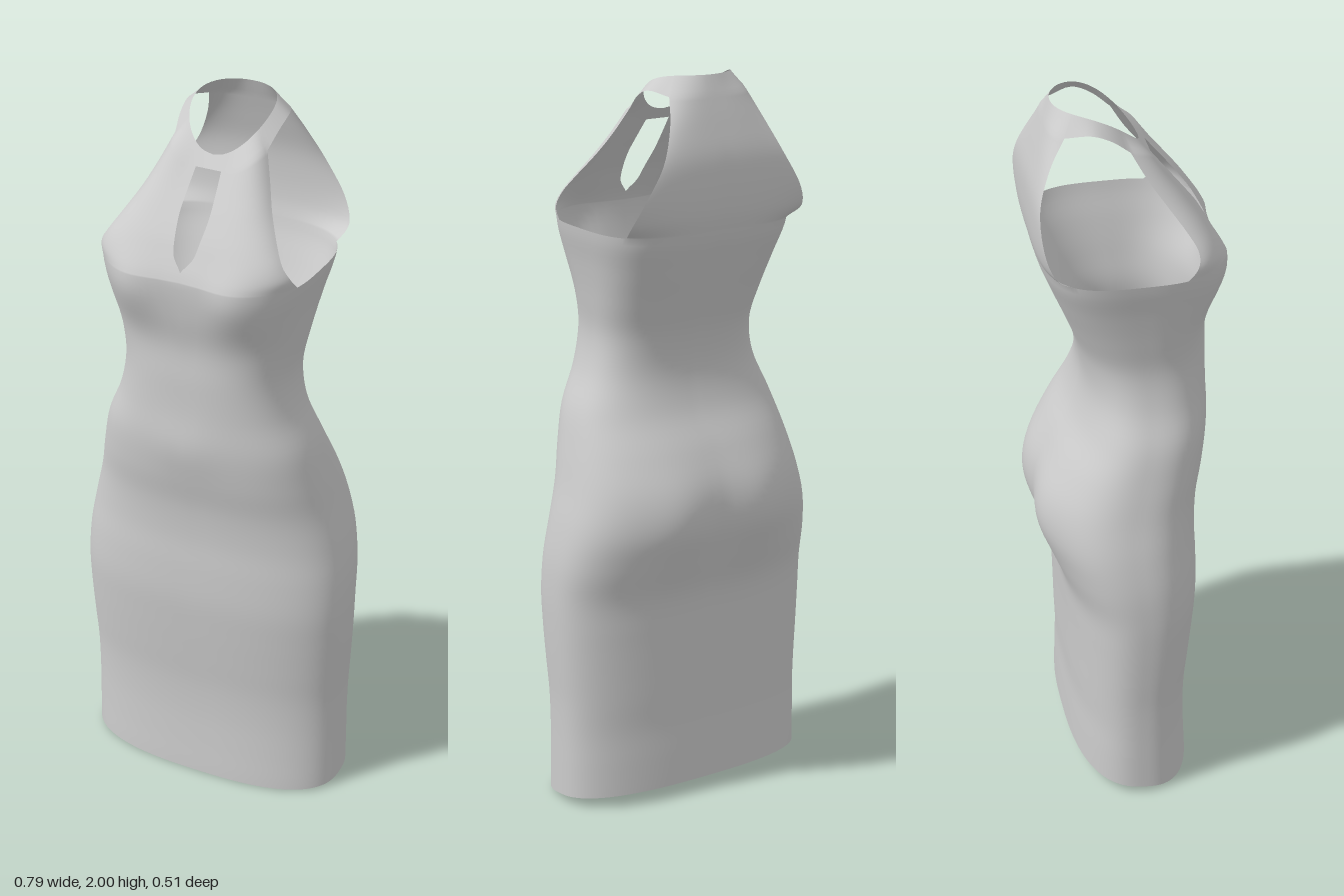
import * as THREE from 'three';
import { mergeGeometries, mergeVertices } from 'three/addons/utils/BufferGeometryUtils.js';

// Body sections every 0.1 in height: half width, front depth, back depth
const BODY = [
  [0.38, 0.16, 0.175], [0.38, 0.155, 0.173], [0.38, 0.152, 0.17], [0.382, 0.155, 0.173],
  [0.388, 0.165, 0.175], [0.393, 0.175, 0.178], [0.395, 0.183, 0.185], [0.39, 0.183, 0.215],
  [0.373, 0.18, 0.24], [0.348, 0.187, 0.235], [0.325, 0.205, 0.195], [0.298, 0.215, 0.14],
  [0.255, 0.215, 0.115], [0.236, 0.215, 0.125], [0.247, 0.212, 0.16], [0.265, 0.228, 0.2],
  [0.287, 0.238, 0.235],
];
const TOP = 1.6;
const FRONT_CORNER = 0.32, BACK_CORNER = -0.62; // armhole corners, as section angles
const K = 18, SIDE = 16;

// Smooth interpolation through a table of evenly spaced rows
function sample(table, t) {
  const last = table.length - 1;
  const i = Math.min(Math.floor(t * last), last - 1), u = t * last - i;
  const at = (k) => table[Math.max(0, Math.min(last, k))];
  return table[i].map((p1, c) => {
    const p0 = at(i - 1)[c], p2 = at(i + 1)[c], p3 = at(i + 2)[c];
    return p1 + 0.5 * u * (p2 - p0 + u * (2 * p0 - 5 * p1 + 4 * p2 - p3 + u * (3 * (p1 - p2) + p3 - p0)));
  });
}

// Rounded section of the body at one height and angle (front = PI/2, back = -PI/2)
function section(y, a) {
  const [w, f, b] = sample(BODY, y / TOP);
  const n = 2.6 + 0.7 * THREE.MathUtils.smoothstep(y, 1.3, 1.6);
  const mid = (f - b) * 0.35;
  const s = Math.sin(a), p = 2 / n;
  const x = w * Math.pow(Math.max(0, Math.cos(a)), p);
  const z = mid + Math.sign(s) * Math.pow(Math.abs(s), p) * (s > 0 ? f - mid : b + mid);
  const hem = 0.038 * ((f - z) / (f + b)) * Math.max(0, 1 - y / 0.35);
  return [Math.abs(x) < 1e-5 ? 0 : x, y + hem, z];
}

// Soft swellings: bust, belly and seat
function swell([x, y, z]) {
  const g = (cx, cy, sx, sy) => Math.exp(-(((x - cx) / sx) ** 2) - ((y - cy) / sy) ** 2);
  const front = THREE.MathUtils.clamp(z / 0.1, 0, 1), back = THREE.MathUtils.clamp(-z / 0.1, 0, 1);
  return [x, y, z + front * (0.024 * g(0.15, 1.56, 0.08, 0.09) + 0.01 * g(0, 1.1, 0.1, 0.09))
    - back * 0.018 * g(0.13, 0.82, 0.1, 0.13)];
}

// Half surface from rows of points, plus its mirror image
function mirroredGrid(rows) {
  const n = rows[0].length;
  return [1, -1].map((side) => {
    const index = [];
    for (let j = 0; j < rows.length - 1; j++) for (let i = 0; i < n - 1; i++) {
      const a = j * n + i, b = a + 1, c = b + n, d = a + n;
      index.push(...(side > 0 ? [a, b, c, a, c, d] : [a, c, b, a, d, c]));
    }
    const g = new THREE.BufferGeometry();
    const pos = rows.flat().flatMap(([x, y, z]) => [x * side, y, z]);
    g.setAttribute('position', new THREE.Float32BufferAttribute(pos, 3));
    g.setIndex(index);
    return g;
  });
}

const span = (a, b, n) => Array.from({ length: n + 1 }, (_, i) => a + ((b - a) * i) / n);

// Panel rising from the body between two section angles.
// Table rows: inner y, outer y, inner x, outer x, inner z, outer z
function panelRows(angles, table, centre, corner, steps) {
  const base = angles.map((a) => section(TOP, a));
  const c = base[centre], e = base[corner];
  const full = [[TOP, TOP, 0, e[0], c[2], e[2]], ...table];
  return span(0, 1, steps).map((t) => {
    const [yi, yo, xi0, xo, zi, zo] = sample(full, t);
    const xi = Math.max(0, xi0);
    return base.map((p) => {
      const u = p[0] / e[0], v = (p[2] - e[2]) / (c[2] - e[2]);
      return swell([xi + (xo - xi) * u, yi + (yo - yi) * u * u, zo + (zi - zo) * v]);
    });
  });
}

export function createModel() {
  const frontAngles = span(Math.PI / 2, FRONT_CORNER, K);
  const sideAngles = span(FRONT_CORNER, BACK_CORNER, SIDE);
  const backAngles = span(BACK_CORNER, -Math.PI / 2, K);

  // Skirt and bodice up to the underarm
  const around = [...frontAngles, ...sideAngles.slice(1), ...backAngles.slice(1)];
  const body = span(0, TOP, 80).map((y) => around.map((a) => swell(section(y, a))));

  // Front panel, its inner edge opening into the keyhole
  const front = panelRows(frontAngles, [
    [1.625, 1.63, 0, 0.272, 0.228, 0.145],
    [1.66, 1.665, 0.027, 0.25, 0.21, 0.15],
    [1.70, 1.71, 0.036, 0.222, 0.187, 0.125],
    [1.75, 1.77, 0.042, 0.187, 0.15, 0.082],
    [1.80, 1.83, 0.04, 0.16, 0.11, 0.04],
    [1.85, 1.90, 0.036, 0.132, 0.07, 0],
  ], 0, K, 30);

  // Back panel
  const back = panelRows(backAngles, [
    [1.65, 1.635, 0, 0.268, -0.246, -0.215],
    [1.72, 1.70, 0, 0.242, -0.25, -0.24],
    [1.80, 1.79, 0, 0.187, -0.245, -0.24],
    [1.88, 1.88, 0, 0.145, -0.223, -0.207],
    [1.95, 1.95, 0, 0.12, -0.2, -0.165],
  ], K, 0, 25);

  // Neck band from the panel tops and shoulder edge up to the rim
  const frontTop = front[front.length - 1], backTop = back[back.length - 1];
  const shoulder = new THREE.CatmullRomCurve3([
    frontTop[K], [0.141, 1.94, -0.05], [0.142, 1.96, -0.1], backTop[0],
  ].map((p) => new THREE.Vector3(...p))).getPoints(12).slice(1, -1).map((p) => p.toArray());
  const outer = [[0, 1.85, 0.07], ...frontTop, ...shoulder, ...backTop];
  const rim = outer.map(([x, , z]) => {
    const a = Math.atan2(x, z + 0.07), c = Math.cos(a);
    return [x === 0 ? 0 : 0.112 * Math.sin(a), 2 - 0.12 * ((1 + c) / 2) ** 2.5, -0.068 + 0.113 * c];
  });
  const band = span(0, 1, 4).map((t) => outer.map((p, i) => p.map((v, k) => v + (rim[i][k] - v) * t)));

  const geometry = mergeVertices(mergeGeometries([body, front, back, band].flatMap(mirroredGrid)), 1e-4);
  geometry.computeVertexNormals();
  const material = new THREE.MeshStandardMaterial({ color: 0xcccccc, side: THREE.DoubleSide });
  const dress = new THREE.Mesh(geometry, material);
  dress.name = 'halterDress';

  const group = new THREE.Group();
  group.name = 'dress';
  group.add(dress);
  return group;
}
